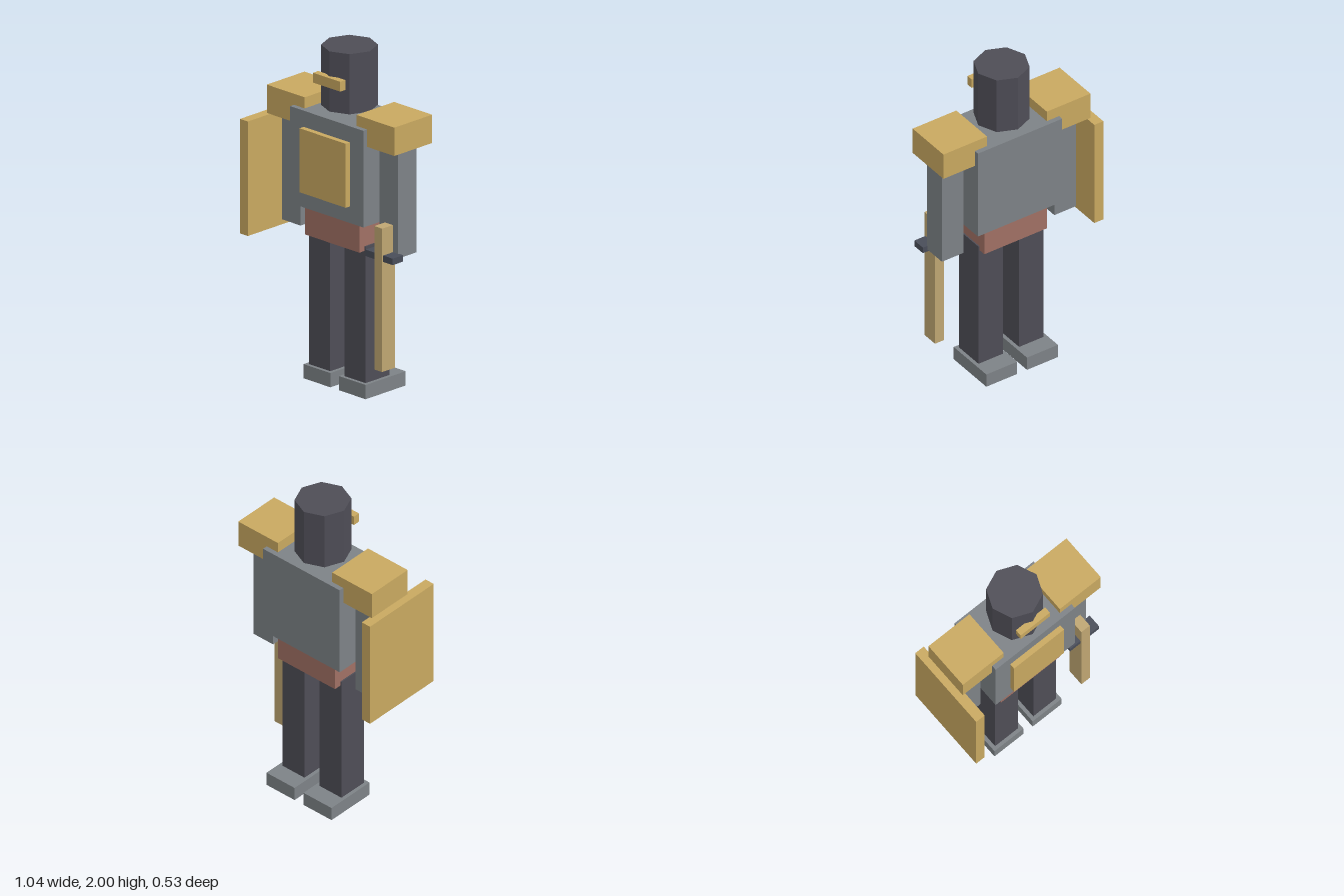
import * as THREE from 'three';

const mat = (name, color) => {
  const m = new THREE.MeshStandardMaterial({ color });
  m.name = name;
  return m;
};

export function createModel() {
  const group = new THREE.Group();
  group.name = 'armouredFigure';

  const steel = mat('steel grey', 0x7d8286);
  const dark = mat('dark iron', 0x4e4d56);
  const gold = mat('gold', 0xc8a860);
  const brass = mat('pale brass', 0xbfa672);
  const leather = mat('red leather', 0xa07064);
  const guardIron = mat('blue iron', 0x494d59);

  // Box given by its extents along each axis
  const box = (name, material, [x0, x1], [y0, y1], [z0, z1]) => {
    const mesh = new THREE.Mesh(new THREE.BoxGeometry(x1 - x0, y1 - y0, z1 - z0), material);
    mesh.position.set((x0 + x1) / 2, (y0 + y1) / 2, (z0 + z1) / 2);
    mesh.name = name;
    group.add(mesh);
  };

  // The body is mirrored about this line; shield and sword are not
  const midX = 0.02;
  const pair = (name, material, [inner, outer], y, z) => {
    box('left' + name, material, [midX + inner, midX + outer], y, z);
    box('right' + name, material, [midX - outer, midX - inner], y, z);
  };

  // Body
  box('torso', steel, [-0.265, 0.305], [1.04, 1.61], [-0.232, 0.125]);
  box('chestPlate', gold, [-0.16, 0.2], [1.138, 1.515], [0.12, 0.158]);
  box('hips', leather, [-0.192, 0.232], [0.862, 1.045], [-0.19, 0.083]);

  // Limbs and armour
  pair('Leg', dark, [0.055, 0.22], [0, 0.89], [-0.145, 0.042]);
  pair('Foot', steel, [0.033, 0.242], [0.001, 0.085], [-0.252, 0.063]);
  pair('Arm', steel, [0.307, 0.453], [0.873, 1.52], [-0.125, 0.02]);
  pair('ShoulderPad', gold, [0.202, 0.497], [1.508, 1.675], [-0.202, 0.095]);

  // Eight-sided helmet with visor
  const helmet = new THREE.Mesh(new THREE.CylinderGeometry(0.158, 0.158, 0.355, 8), dark);
  helmet.material.flatShading = true;
  helmet.position.set(midX, 1.8225, -0.054);
  helmet.name = 'helmet';
  group.add(helmet);
  box('visor', gold, [-0.086, 0.125], [1.795, 1.853], [0.085, 0.126]);

  // Shield on the right arm
  box('shield', gold, [-0.52, -0.459], [0.83, 1.505], [-0.265, 0.263]);

  // Sword in the left hand, pointing down
  box('swordBlade', brass, [0.37, 0.431], [0.215, 1.06], [0.002, 0.104]);
  box('swordGuard', guardIron, [0.295, 0.505], [0.862, 0.9], [0.013, 0.096]);

  return group;
}
